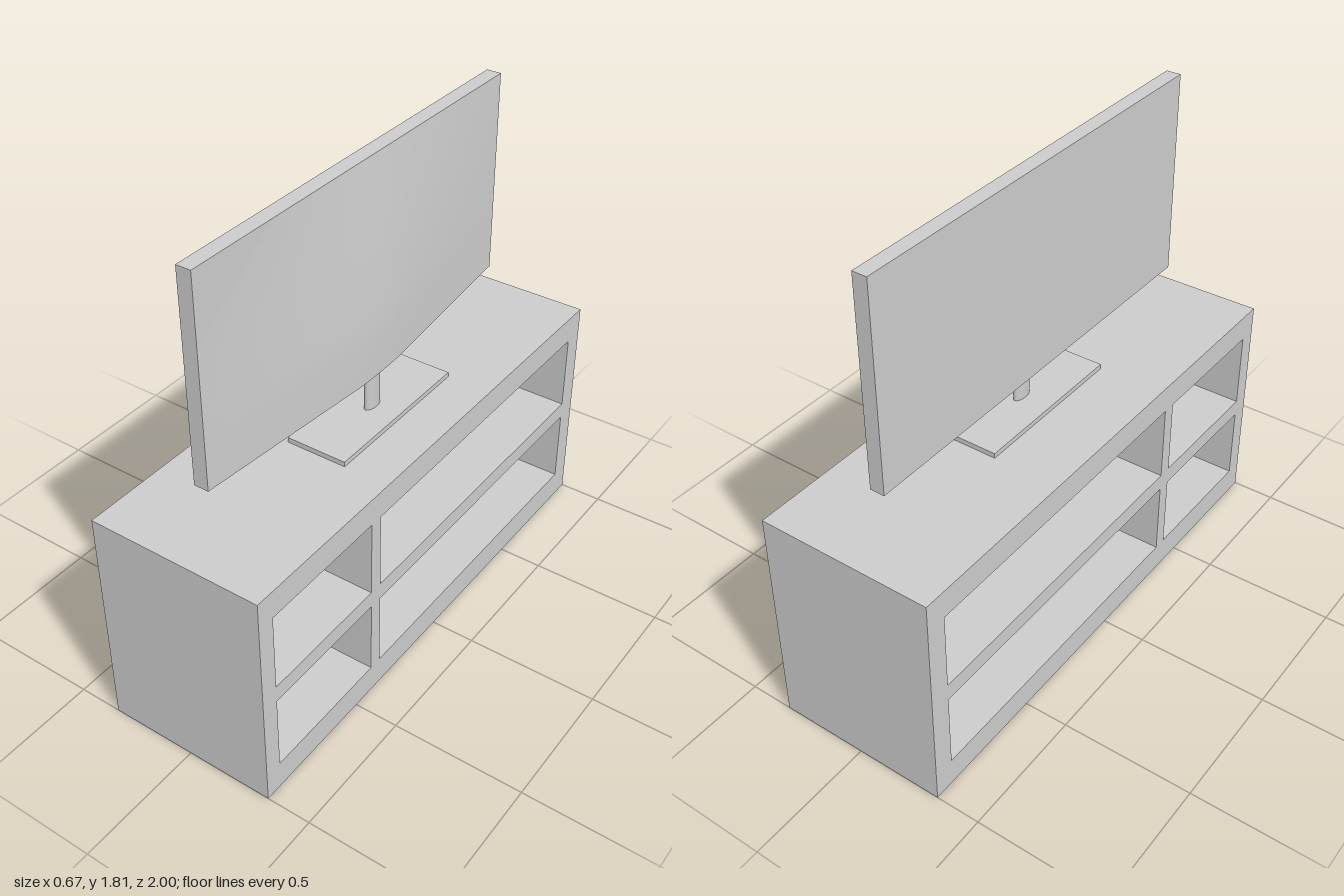
import * as THREE from 'three';
import { toCreasedNormals } from 'three/addons/utils/BufferGeometryUtils.js';

const material = new THREE.MeshStandardMaterial({ color: 0xcccccc });

function part(parent, name, geometry, x = 0, y = 0, z = 0) {
  const mesh = new THREE.Mesh(geometry, material);
  mesh.name = name;
  mesh.position.set(x, y, z);
  parent.add(mesh);
  return mesh;
}

// Box given by its min and max corners
function boxBetween(parent, name, [x0, y0, z0], [x1, y1, z1]) {
  return part(parent, name, new THREE.BoxGeometry(x1 - x0, y1 - y0, z1 - z0),
    (x0 + x1) / 2, (y0 + y1) / 2, (z0 + z1) / 2);
}

// Rectangle outline in the (z, y) plane
function rect(path, z0, y0, z1, y1) {
  path.moveTo(z0, y0);
  path.lineTo(z1, y0);
  path.lineTo(z1, y1);
  path.lineTo(z0, y1);
  path.closePath();
  return path;
}

// Cabinet profile with four compartments open through its full depth
function cabinetGeometry() {
  const depth = 0.666;
  const shape = rect(new THREE.Shape(), -1, 0, 1, 0.868);
  for (const [y0, y1] of [[0.107, 0.4], [0.465, 0.763]]) {
    for (const [z0, z1] of [[-0.92, 0.358], [0.41, 0.932]]) {
      shape.holes.push(rect(new THREE.Path(), z0, y0, z1, y1));
    }
  }
  const geometry = new THREE.ExtrudeGeometry(shape, { depth, bevelEnabled: false });
  geometry.translate(0, 0, -depth / 2);
  geometry.rotateY(-Math.PI / 2);
  return geometry;
}

// Rear housing: a gridded box whose outer face bulges towards the middle and bottom
function housingGeometry() {
  const rows = [[1.035, 1], [1.2, 1], [1.29, 0.95], [1.55, 0.475], [1.812, 0]];
  const half = [[0, 1], [0.055, 0.99], [0.11, 0.96], [0.47, 0.475], [0.827, 0]];
  const columns = [...half.slice(1).reverse().map(([z, g]) => [-z, g]), ...half];
  const ny = rows.length - 1, nz = columns.length - 1;
  const geometry = new THREE.BoxGeometry(1, 1, 1, 1, ny, nz);
  const p = geometry.attributes.position;
  for (let i = 0; i < p.count; i++) {
    const [y, h] = rows[Math.round((p.getY(i) + 0.5) * ny)];
    const [z, g] = columns[Math.round((p.getZ(i) + 0.5) * nz)];
    const x = p.getX(i) > 0 ? 0.016 + 0.065 * g * h : 0;
    p.setXYZ(i, x, y, z);
  }
  return toCreasedNormals(geometry, Math.PI / 6);
}

export function createModel() {
  const model = new THREE.Group();
  model.name = 'televisionOnCabinet';

  part(model, 'cabinet', cabinetGeometry());

  // Television with its stand
  const television = new THREE.Group();
  television.name = 'television';
  model.add(television);
  boxBetween(television, 'standBase', [-0.075, 0.868, -0.32], [0.16, 0.887, 0.32]);
  const post = new THREE.CylinderGeometry(1, 1, 0.17, 32);
  post.scale(0.019, 1, 0.04);
  part(television, 'standPost', post, 0.048, 0.965, 0);
  boxBetween(television, 'screenPanel', [-0.04, 1.035, -0.83], [0.016, 1.815, 0.83]);
  part(television, 'rearHousing', housingGeometry());

  return model;
}
